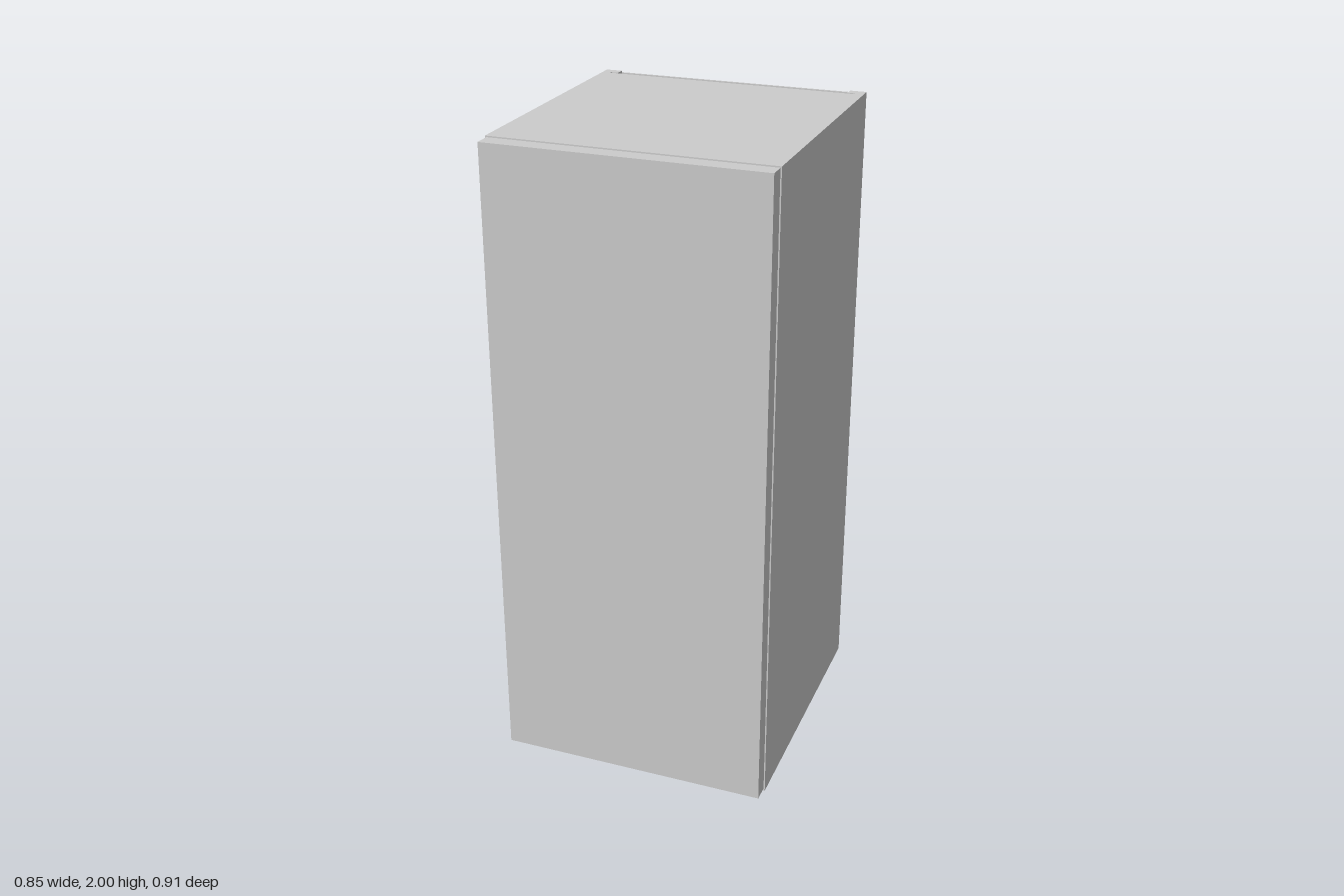
import * as THREE from 'three';

const material = new THREE.MeshStandardMaterial({ color: 0xcccccc });

// Panel given by its [min, max] extent along each axis
function panel(name, [x0, x1], [y0, y1], [z0, z1]) {
  const mesh = new THREE.Mesh(new THREE.BoxGeometry(x1 - x0, y1 - y0, z1 - z0), material);
  mesh.name = name;
  mesh.position.set((x0 + x1) / 2, (y0 + y1) / 2, (z0 + z1) / 2);
  return mesh;
}

export function createModel() {
  const cabinet = new THREE.Group();
  cabinet.name = 'tallCabinet';

  const height = 2, board = 0.027;
  const outer = 0.427, inner = outer - board;
  const carcassBack = -0.452, carcassFront = 0.403;

  // Side panels, each with a batten in the rear corner
  for (const [side, s] of [['left', 1], ['right', -1]]) {
    const span = (a, b) => (s > 0 ? [a, b] : [-b, -a]);
    cabinet.add(panel(side + 'SidePanel', span(inner, outer), [0, height], [carcassBack, carcassFront]));
    cabinet.add(panel(side + 'RearBatten', span(0.376, inner), [0, height], [carcassBack, -0.422]));
  }

  // Top and bottom stop short of the back, leaving a ventilation slot
  const depth = [-0.413, carcassFront];
  cabinet.add(panel('bottomPanel', [-inner, inner], [0, board], depth));
  cabinet.add(panel('topPanel', [-inner, inner], [height - board, height], depth));

  // Thin back sheet laid over the carcass
  cabinet.add(panel('backPanel', [-0.421, 0.421], [0.006, height - 0.006], [-0.459, carcassBack]));

  // Thick full-height door, slightly smaller than the carcass
  cabinet.add(panel('door', [-0.423, 0.423], [0.008, height - 0.004], [carcassFront, 0.456]));

  return cabinet;
}
